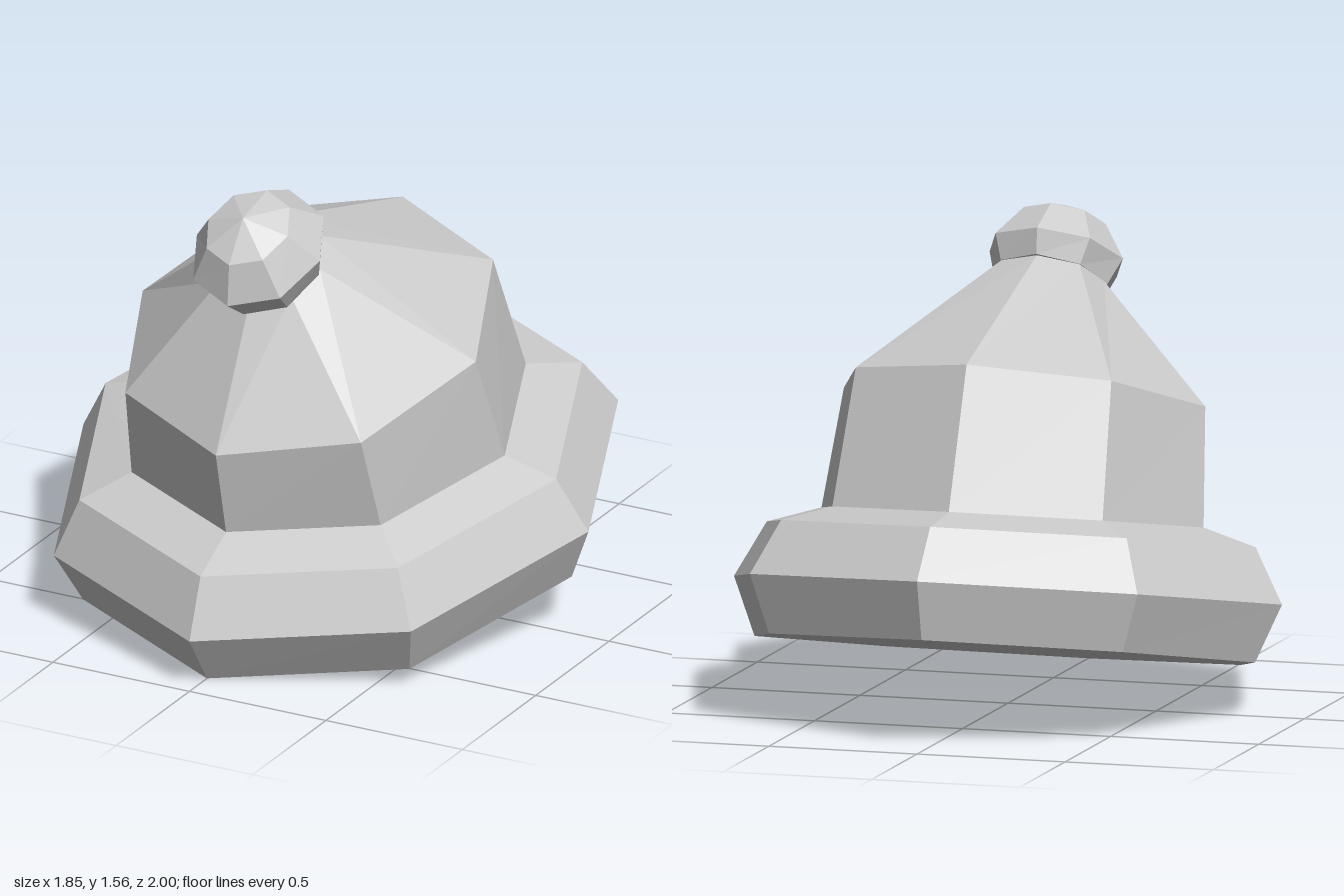
import * as THREE from 'three';

const SIDES = 8;
const material = new THREE.MeshStandardMaterial({ color: 0xcccccc, flatShading: true });

// One tilted oval ring from its front point, back point and half width.
function ring([frontZ, frontY, backZ, backY, halfWidth]) {
  const points = [];
  for (let i = 0; i < SIDES; i++) {
    const a = (i / SIDES) * Math.PI * 2;
    const t = (1 - Math.cos(a)) / 2; // 0 at the front, 1 at the back
    points.push([
      Math.sin(a) * halfWidth,
      frontY + (backY - frontY) * t,
      frontZ + (backZ - frontZ) * t,
    ]);
  }
  return points;
}

// Faceted skin through a stack of rings, closed at both ends.
function loft(name, sections, apex) {
  const rings = sections.map(ring);
  const positions = [];
  const tri = (a, b, c) => positions.push(...a, ...b, ...c);
  const middle = ([fz, fy, bz, by]) => [0, (fy + by) / 2, (fz + bz) / 2];
  const bottom = middle(sections[0]);
  const top = apex || middle(sections[sections.length - 1]);
  for (let i = 0; i < SIDES; i++) {
    const j = (i + 1) % SIDES;
    for (let r = 0; r < rings.length - 1; r++) {
      const low = rings[r], high = rings[r + 1];
      tri(low[i], low[j], high[j]);
      tri(low[i], high[j], high[i]);
    }
    tri(bottom, rings[0][j], rings[0][i]);
    const last = rings[rings.length - 1];
    tri(top, last[i], last[j]);
  }
  const geometry = new THREE.BufferGeometry();
  geometry.setAttribute('position', new THREE.Float32BufferAttribute(positions, 3));
  geometry.computeVertexNormals();
  const mesh = new THREE.Mesh(geometry, material);
  mesh.name = name;
  return mesh;
}

export function createModel() {
  const hat = new THREE.Group();
  hat.name = 'bobbleHat';

  // Ring values: front z, front y, back z, back y, half width
  const brimTop = [0.75, 0.465, -0.65, 0.735, 0.645];

  // Thick rolled brim, tilted down at the front
  hat.add(loft('brim', [
    [0.88, 0.0, -0.95, 0.365, 0.845],
    [1.0, 0.175, -1.0, 0.565, 0.925],
    [0.925, 0.375, -0.855, 0.72, 0.825],
    brimTop,
  ]));

  // Crown, leaning forward to a narrow neck
  hat.add(loft('crown', [
    brimTop,
    [0.82, 0.76, -0.455, 1.185, 0.61],
    [0.59, 1.215, 0.32, 1.415, 0.185],
  ]));

  // Bobble on the neck
  hat.add(loft('bobble', [
    [0.63, 1.185, 0.31, 1.42, 0.19],
    [0.74, 1.255, 0.32, 1.505, 0.225],
    [0.73, 1.395, 0.47, 1.56, 0.145],
  ], [0, 1.525, 0.635]));

  return hat;
}
